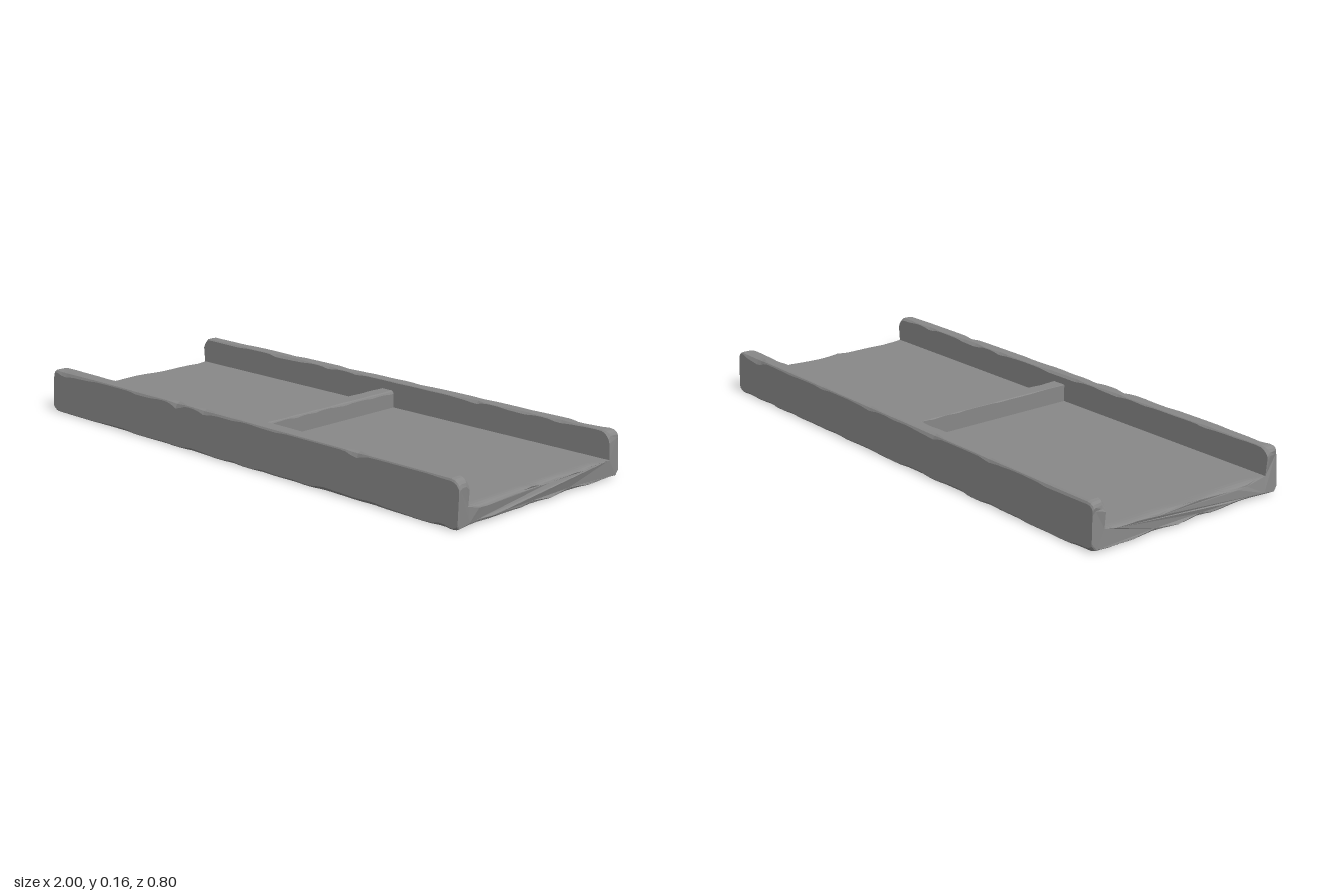
import * as THREE from 'three';

// Repeatable value noise in 0..1, one independent track per seed
function hash(n, seed) {
  const s = Math.sin(n * 127.1 + seed * 311.7) * 43758.5453;
  return s - Math.floor(s);
}
function noise(t, seed) {
  const i = Math.floor(t), f = t - i, k = f * f * (3 - 2 * f);
  return hash(i, seed) * (1 - k) + hash(i + 1, seed) * k;
}
// Depth of a worn edge: mostly shallow, with occasional deeper chips
const wear = (t, seed, low, high) => low + (high - low) * Math.pow(noise(t * 14, seed), 3);

// Skin a row of closed cross-sections and cap both ends.
// Each section is a list of { flat: Vector2, pos: Vector3 }, counter-clockwise.
function loft(sections) {
  const n = sections[0].length, index = [];
  for (let i = 0; i < sections.length - 1; i++) {
    for (let j = 0; j < n; j++) {
      const a = i * n + j, b = i * n + (j + 1) % n;
      index.push(a, b, a + n, b, b + n, a + n);
    }
  }
  const last = (sections.length - 1) * n;
  const cap = (s) => THREE.ShapeUtils.triangulateShape(s.map((p) => p.flat), []);
  for (const [a, b, c] of cap(sections[0])) index.push(a, c, b);
  for (const [a, b, c] of cap(sections[sections.length - 1])) index.push(last + a, last + b, last + c);
  const geometry = new THREE.BufferGeometry().setFromPoints(sections.flat().map((p) => p.pos));
  geometry.setIndex(index);
  geometry.computeVertexNormals();
  return geometry;
}

const FLOOR = 0.065, TOP = 0.16, OUT = 0.4, IN = 0.35, STEPS = 16;

// Channel cross-section at x; u runs towards the back (u = -z)
function channelSection(x) {
  const t = Math.max(0, (Math.abs(x) - 0.965) / 0.035);
  const round = 1 - Math.sqrt(Math.max(0, 1 - t * t));
  const top = TOP - 0.028 * round;
  const base = 0.012 * round;
  const seed = (k) => k + 1;
  const bottom = (k) => wear(x, seed(k), 0.003, 0.014) + 0.006 * round;
  const outer = (k) => wear(x, seed(k), 0.006, 0.024) + 0.004 * round;
  const inner = (k) => wear(x, seed(k), 0.002, 0.012) + 0.004 * round;
  const pts = [];

  // underside
  const b0 = bottom(0), b1 = bottom(1);
  for (let i = 0; i <= STEPS; i++) {
    const u = THREE.MathUtils.lerp(-OUT + b0, OUT - b1, i / STEPS);
    pts.push([u, base * (0.3 + noise(i * 0.7, 21))]);
  }
  // back wall
  const o1 = outer(2), i1 = inner(3);
  pts.push([OUT, base + b1], [OUT, top - o1], [OUT - o1 * 0.35, top - o1 * 0.3], [OUT - o1, top]);
  pts.push([IN + i1, top], [IN, top - i1]);
  // channel floor, slightly broken down at the two ends
  for (let i = 0; i <= STEPS; i++) {
    const u = THREE.MathUtils.lerp(IN, -IN, i / STEPS);
    const chip = i % STEPS ? 0.016 * round * noise(i * 0.8, x > 0 ? 31 : 32) : 0;
    pts.push([u, FLOOR - chip]);
  }
  // front wall
  const o0 = outer(4), i0 = inner(5);
  pts.push([-IN, top - i0], [-IN - i0, top]);
  pts.push([-OUT + o0, top], [-OUT + o0 * 0.35, top - o0 * 0.3], [-OUT, top - o0], [-OUT, base + b0]);

  return pts.map(([u, y]) => {
    // ragged end faces
    const rag = 0.012 * t * noise(u * 18 + y * 25, x > 0 ? 41 : 42);
    return { flat: new THREE.Vector2(u, y), pos: new THREE.Vector3(x - Math.sign(x) * rag, y, -u) };
  });
}

// Divider cross-section at z, with the right-hand edge worn the most
function dividerSection(z) {
  const a = wear(z * 1.5, 51, 0.001, 0.006), b = wear(z * 1.5, 52, 0.004, 0.022);
  const x0 = -0.015, x1 = 0.045, y0 = FLOOR - 0.01, y1 = 0.127;
  return [[x0, y0], [x1, y0], [x1, y1 - b], [x1 - b * 0.35, y1 - b * 0.3], [x1 - b, y1], [x0 + a, y1], [x0, y1 - a]]
    .map(([x, y]) => ({ flat: new THREE.Vector2(x, y), pos: new THREE.Vector3(x, y, z) }));
}

export function createModel() {
  const stone = new THREE.MeshStandardMaterial({ color: 0x888888, flatShading: true });
  stone.name = 'grey stone';
  const group = new THREE.Group();
  group.name = 'stoneTrough';

  // Open-ended trough: floor slab and two side walls
  const end = [1, 0.997, 0.99, 0.979, 0.965];
  const stations = end.map((x) => -x);
  for (let i = 1; i < 80; i++) stations.push(-0.965 + (1.93 * i) / 80);
  stations.push(...end.slice().reverse());
  const trough = new THREE.Mesh(loft(stations.map(channelSection)), stone);
  trough.name = 'trough';
  group.add(trough);

  // Cross bar between the walls
  const bars = [];
  for (let i = 0; i <= 32; i++) bars.push(dividerSection(-0.355 + (0.71 * i) / 32));
  const divider = new THREE.Mesh(loft(bars), stone);
  divider.name = 'divider';
  group.add(divider);

  return group;
}
